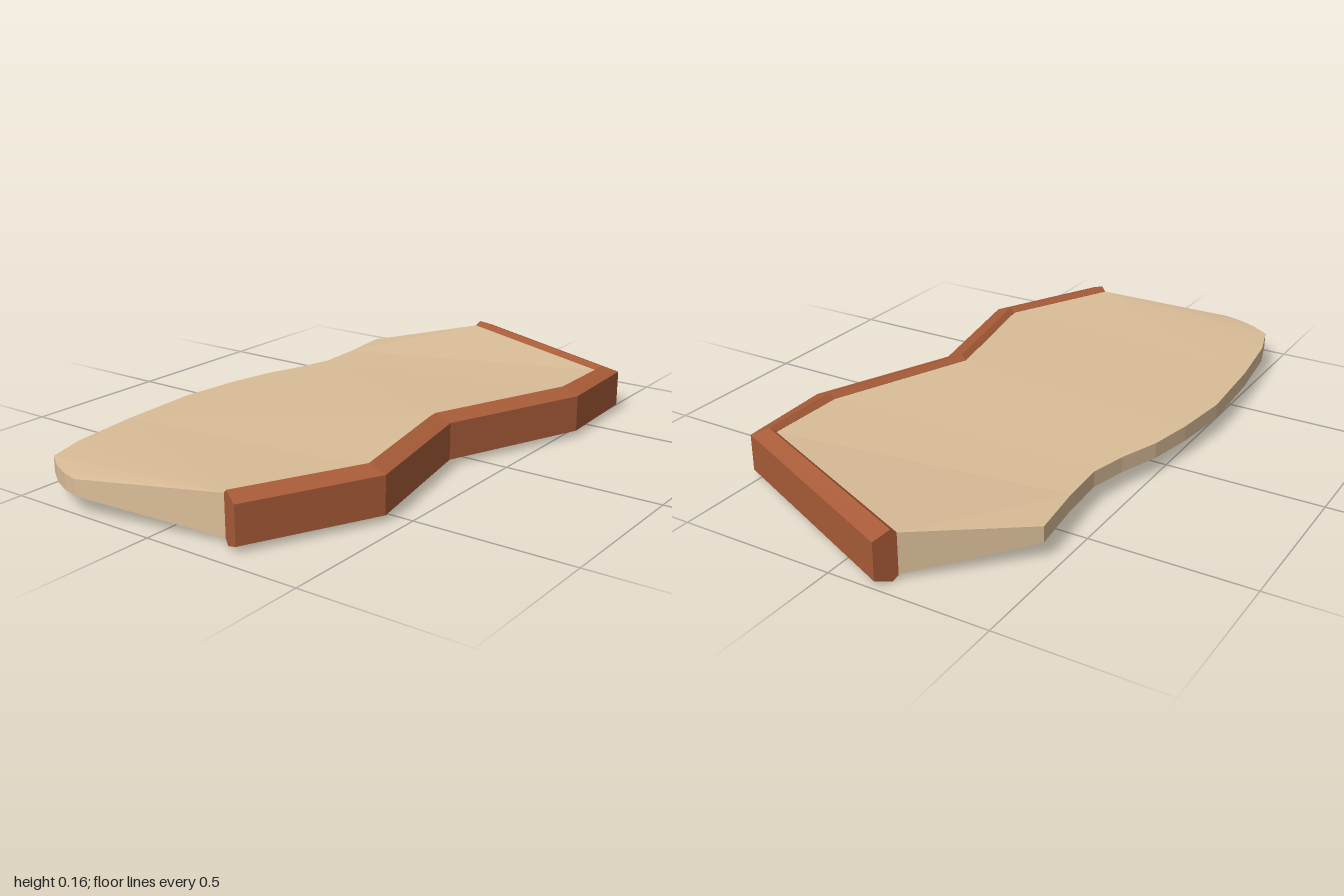
import * as THREE from 'three';

const MID = 0.078; // height of the horizontal symmetry plane

// Plan outlines as [x, z], all running from the -x end to the +x end
const crustOuter = [[-0.94, 0.255], [-0.55, 0.445], [-0.09, 0.355], [0.37, 0.54], [0.695, 0.525], [0.995, -0.148]];
const crustInner = [[-0.905, 0.19], [-0.54, 0.37], [-0.085, 0.28], [0.38, 0.463], [0.65, 0.465], [0.93, -0.178]];
const backEdge = [
  [-1, -0.27], [-0.985, -0.325], [-0.955, -0.39], [-0.91, -0.455], [-0.78, -0.495], [-0.55, -0.525],
  [-0.27, -0.543], [-0.08, -0.523], [0.07, -0.495], [0.2, -0.45], [0.32, -0.422], [0.47, -0.43], [0.655, -0.452],
];

const at = ([x, z], h) => new THREE.Vector3(x, MID + h, z);
const flip = (v) => new THREE.Vector3(v.x, 2 * MID - v.y, v.z);
const quad = (tris, a, b, c, d) => tris.push(a, b, c, a, c, d);

function facetedMesh(name, tris, material) {
  const geometry = new THREE.BufferGeometry().setFromPoints(tris);
  geometry.computeVertexNormals();
  const mesh = new THREE.Mesh(geometry, material);
  mesh.name = name;
  return mesh;
}

// Bevelled six-sided bar swept along the front outline
function crustTriangles() {
  const tris = [];
  const rings = crustOuter.map((o, i) => {
    const n = crustInner[i];
    const ridge = [THREE.MathUtils.lerp(o[0], n[0], 0.75), THREE.MathUtils.lerp(o[1], n[1], 0.75)];
    return [at(o, -0.058), at(o, 0.058), at(ridge, 0.078), at(n, 0.064), at(n, -0.064), at(ridge, -0.078)];
  });
  for (let i = 0; i < rings.length - 1; i++) {
    for (let k = 0; k < 6; k++) {
      const m = (k + 1) % 6;
      quad(tris, rings[i][k], rings[i + 1][k], rings[i + 1][m], rings[i][m]);
    }
  }
  // End caps
  const first = rings[0], last = rings[rings.length - 1];
  for (let k = 1; k < 5; k++) {
    tris.push(first[0], first[k], first[k + 1]);
    tris.push(last[0], last[k + 1], last[k]);
  }
  return tris;
}

// Slab, thick along the crust and tapering to a thin back rim
function slabTriangles() {
  const tris = [];
  const front = crustInner.map((p) => at(p, 0.063));
  const back = backEdge.map((p) => at(p, 0.025));

  // Zip the two edges together, taking the shorter diagonal each time
  let i = 0, j = 0;
  while (i < front.length - 1 || j < back.length - 1) {
    const canFront = i < front.length - 1, canBack = j < back.length - 1;
    const useFront = canFront &&
      (!canBack || front[i + 1].distanceTo(back[j]) < front[i].distanceTo(back[j + 1]));
    const t = useFront ? [front[i], front[i + 1], back[j]] : [front[i], back[j + 1], back[j]];
    tris.push(...t, flip(t[0]), flip(t[2]), flip(t[1]));
    if (useFront) i++; else j++;
  }

  // Side walls and thin back rim
  const rim = [front[front.length - 1], ...back.slice().reverse(), front[0]];
  for (let k = 0; k < rim.length - 1; k++) {
    quad(tris, flip(rim[k]), flip(rim[k + 1]), rim[k + 1], rim[k]);
  }
  return tris;
}

export function createModel() {
  const tan = new THREE.MeshStandardMaterial({ color: 0xdabd98 });
  tan.name = 'tan';
  const brown = new THREE.MeshStandardMaterial({ color: 0xa85c38 });
  brown.name = 'reddish brown';

  const group = new THREE.Group();
  group.name = 'crustedSlab';
  group.add(facetedMesh('slab', slabTriangles(), tan));
  group.add(facetedMesh('crust', crustTriangles(), brown));
  return group;
}
